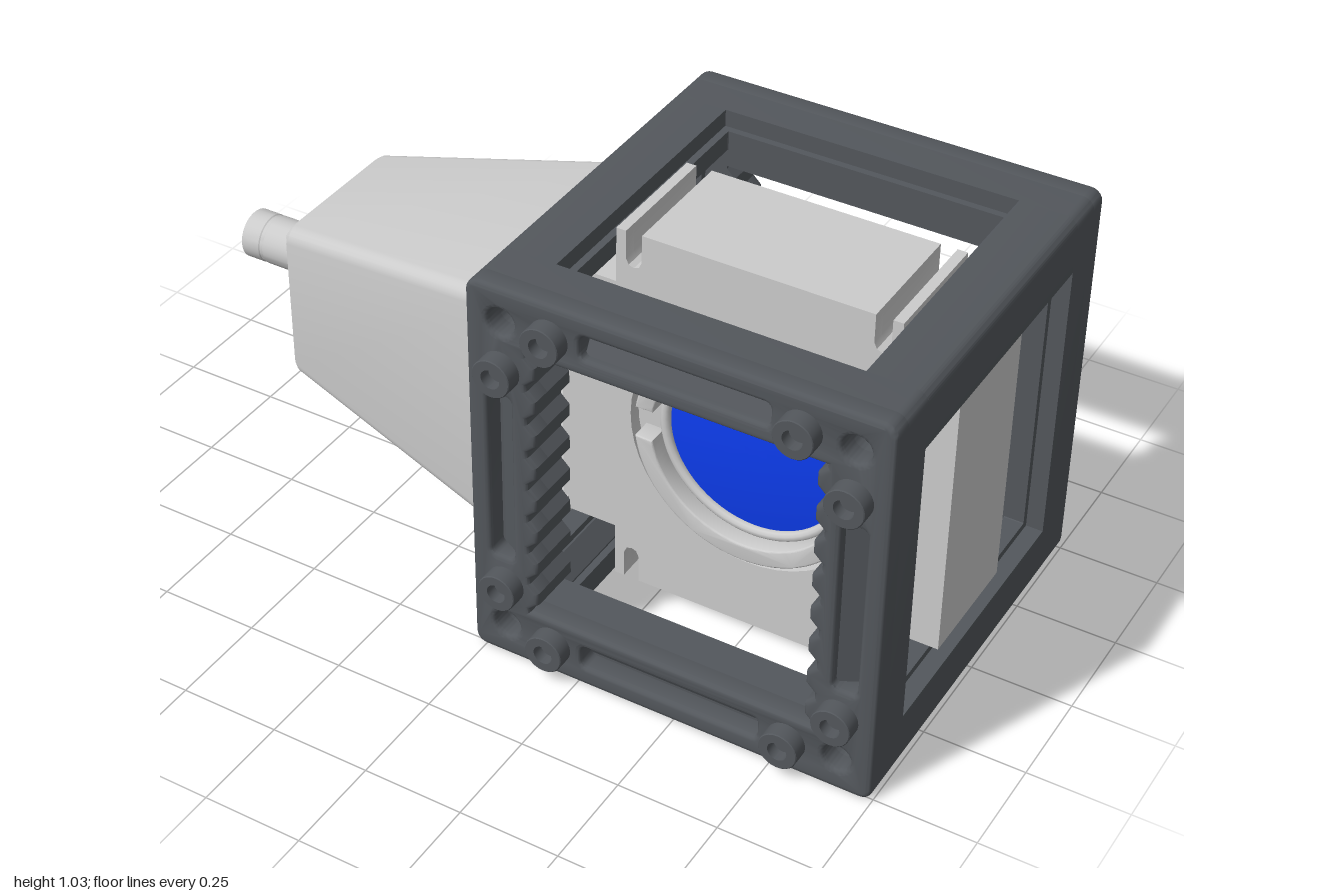
import * as THREE from 'three';
import { toCreasedNormals } from 'three/addons/utils/BufferGeometryUtils.js';
import { RoundedBoxGeometry } from 'three/addons/geometries/RoundedBoxGeometry.js';

const CX = 0.485, CY = 0.513, HALF = 0.513, OPEN = 0.37;
const grey = new THREE.MeshStandardMaterial({ color: 0xcccccc });
const dark = new THREE.MeshStandardMaterial({ color: 0x53575c });
const blue = new THREE.MeshStandardMaterial({ color: 0x0d3df0 });

function add(parent, name, geometry, material, x = 0, y = 0, z = 0) {
  const mesh = new THREE.Mesh(geometry, material);
  mesh.name = name;
  mesh.position.set(x, y, z);
  parent.add(mesh);
  return mesh;
}

// Points of a rounded rectangle, counter-clockwise
function roundRect(cx, cy, hw, hh, r, steps = 5) {
  const pts = [];
  [[1, 1], [-1, 1], [-1, -1], [1, -1]].forEach(([sx, sy], q) => {
    for (let i = 0; i <= steps; i++) {
      const a = (q + i / steps) * Math.PI / 2;
      pts.push(new THREE.Vector2(
        cx + sx * (hw - r) + r * Math.cos(a), cy + sy * (hh - r) + r * Math.sin(a)));
    }
  });
  return pts;
}

function circle(x, y, r) {
  return new THREE.Path().absarc(x, y, r, 0, Math.PI * 2, true);
}

function extrude(shape, depth, bevel = 0) {
  const g = new THREE.ExtrudeGeometry(shape, {
    depth, curveSegments: 24, bevelEnabled: bevel > 0, bevelSize: bevel,
    bevelThickness: bevel, bevelOffset: -bevel, bevelSegments: 3,
  });
  return toCreasedNormals(g, 0.6);
}

// Lathe turned so that its axis is z; points are [radius, z]
function latheZ(points, segments = 48) {
  const g = new THREE.LatheGeometry(points.map(p => new THREE.Vector2(...p)), segments);
  g.rotateX(Math.PI / 2);
  return toCreasedNormals(g, 0.5);
}

// Skin over rounded-square sections along x; sections are [x, half size]
function squareLoft(sections) {
  const pos = [], idx = [];
  let n = 0;
  for (const [x, h] of sections) {
    const loop = roundRect(0, 0, h, h, Math.min(0.035, h * 0.3));
    n = loop.length;
    loop.forEach(p => pos.push(x, p.y, -p.x));
  }
  for (let s = 0; s < sections.length - 1; s++) {
    for (let i = 0; i < n; i++) {
      const a = s * n + i, b = s * n + (i + 1) % n;
      idx.push(a, b, a + n, b, b + n, a + n);
    }
  }
  const g = new THREE.BufferGeometry();
  g.setAttribute('position', new THREE.Float32BufferAttribute(pos, 3));
  g.setIndex(idx);
  return toCreasedNormals(g, 0.5);
}

const corners = [[1, 1], [-1, 1], [-1, -1], [1, -1]];

// Square opening with toothed left and right edges
function toothedOpening() {
  const edge = 0.362, pitch = 2 * edge / 8;
  const side = [new THREE.Vector2(edge, -edge)];
  for (let i = 0; i < 8; i++) {
    [[0, 0.08], [0.022, 0.32], [0.022, 0.68], [0, 0.92]].forEach(([d, t]) =>
      side.push(new THREE.Vector2(edge - d, -edge + (i + t) * pitch)));
  }
  side.push(new THREE.Vector2(edge, edge));
  return new THREE.Path([...side, ...side.map(p => p.clone().negate())]);
}

// Front or back of the cage, facing +z
function cageFace() {
  const face = new THREE.Group();

  // Outer layer with slots, over a plain inner layer
  const ring = new THREE.Shape(roundRect(0, 0, HALF, HALF, 0.03));
  ring.holes.push(toothedOpening());
  corners.forEach(([x, y]) => ring.holes.push(circle(x * 0.425, y * 0.425, 0.034)));
  add(face, 'innerRing', extrude(ring, 0.09), dark, 0, 0, 0.37);
  for (const s of [1, -1]) {
    ring.holes.push(new THREE.Path(roundRect(s * 0.433, 0, 0.03, 0.228, 0.015, 3)));
    ring.holes.push(new THREE.Path(roundRect(0, s * 0.433, 0.228, 0.03, 0.015, 3)));
  }
  add(face, 'facePlate', extrude(ring, 0.041, 0.012), dark, 0, 0, 0.46);

  // Slanted floors of the slots
  const wedge = new THREE.Shape([[0.4, 0.455], [0.466, 0.455], [0.4, 0.49]]
    .map(p => new THREE.Vector2(...p)));
  const floor = extrude(wedge, 0.45);
  floor.translate(0, 0, -0.225);
  floor.rotateX(Math.PI / 2);
  for (let i = 0; i < 4; i++) add(face, 'slotFloor', floor, dark).rotation.z = i * Math.PI / 2;

  // Socket-head screws, two by each corner
  const screw = latheZ([[0.048, 0.49], [0.048, 0.553], [0.046, 0.555], [0.024, 0.555],
    [0.024, 0.525], [0, 0.525]], 24);
  corners.forEach(([x, y]) => {
    add(face, 'screw', screw, dark, x * 0.425, y * 0.302);
    add(face, 'screw', screw, dark, x * 0.302, y * 0.43);
  });
  return face;
}

function createCage() {
  const cage = new THREE.Group();
  cage.name = 'cage';
  const front = cageFace(), back = cageFace();
  front.name = 'frontFace';
  back.name = 'backFace';
  back.rotation.y = Math.PI;
  cage.add(front, back);

  // Hollow corner posts joining the two faces
  const post = new THREE.Shape();
  post.moveTo(OPEN, OPEN + 0.045);
  post.lineTo(OPEN + 0.045, OPEN);
  post.lineTo(HALF, OPEN);
  post.lineTo(HALF, HALF - 0.03);
  post.absarc(HALF - 0.03, HALF - 0.03, 0.03, 0, Math.PI / 2, false);
  post.lineTo(OPEN, HALF);
  post.holes.push(circle(0.425, 0.425, 0.034));
  const postGeometry = extrude(post, 0.74);

  // Narrow lip set back inside each of the four side openings
  const lip = new THREE.Shape(roundRect(0, 0, OPEN + 0.004, OPEN + 0.004, 0.002, 1));
  lip.holes.push(new THREE.Path(roundRect(0, 0, 0.352, 0.352, 0.002, 1)));
  const lipGeometry = extrude(lip, 0.05);
  lipGeometry.translate(0, 0, 0.42);
  lipGeometry.rotateY(Math.PI / 2);

  for (let i = 0; i < 4; i++) {
    add(cage, 'cornerPost', postGeometry, dark, 0, 0, -0.37).rotation.z = i * Math.PI / 2;
    add(cage, 'openingLip', lipGeometry, dark).rotation.z = i * Math.PI / 2;
  }
  return cage;
}

function createLensHolder() {
  const holder = new THREE.Group();
  holder.name = 'lensHolder';

  // Cross-shaped block; the upper and lower arms have slits beside thin fins
  const W = 0.35, L = 0.492;
  const half = [[L, -W], [L, W], [W, W], [W, L], [0.325, L], [0.325, 0.42], [0.318, 0.405],
    [0.305, 0.4], [0.292, 0.405], [0.285, 0.42], [0.285, L]];
  const top = half.slice(3).map(([x, y]) => [-x, y]).reverse();
  const upper = [...half, ...top, [-W, W]];
  const outline = [...upper, ...upper.map(([x, y]) => [-x, -y])];
  // The front layer has a wider hole, leaving a groove round the ring
  for (const [name, z, depth, r] of [['holderBody', -0.155, 0.275, 0.235], ['holderFront', 0.12, 0.035, 0.31]]) {
    const body = new THREE.Shape(outline.map(p => new THREE.Vector2(...p)));
    body.holes.push(circle(0, 0, r));
    add(holder, name, extrude(body, depth), grey, 0, 0, z);
  }

  // Raised retaining ring in two halves, with a notch at each side
  const gap = 0.14;
  for (const turn of [0, Math.PI]) {
    const arc = new THREE.Shape();
    arc.absarc(0, 0, 0.288, gap, Math.PI - gap, false);
    arc.absarc(0, 0, 0.243, Math.PI - gap * 1.2, gap * 1.2, true);
    add(holder, 'retainingRing', extrude(arc, 0.05, 0.004), grey, 0, 0, 0.124).rotation.z = turn;
  }
  add(holder, 'lensSeat', new THREE.TorusGeometry(0.234, 0.013, 10, 64), grey, 0, 0, 0.125);

  // Lens gently curved on both sides
  const profile = [];
  for (let i = 0; i <= 10; i++) {
    profile.push([0.236 * i / 10, 0.138 - 0.018 * (i / 10) ** 2]);
  }
  const lens = [...profile.map(([r, z]) => [r, -z]), ...profile.reverse()];
  add(holder, 'lens', latheZ(lens, 64), blue);
  return holder;
}

function createHousing() {
  const housing = new THREE.Group();
  housing.name = 'sideHousing';

  // Hollow tapering shell with a flange set in the cage opening
  add(housing, 'taperedShell', squareLoft([
    [-0.75, 0.001], [-0.75, 0.195], [-0.746, 0.204], [-0.735, 0.211], [-0.07, 0.338],
    [-0.055, 0.343], [-0.03, 0.37], [-0.027, 0.366], [0.008, 0.366], [0.008, 0.312],
    [-0.02, 0.31], [-0.66, 0.188], [-0.66, 0.001],
  ]), grey);

  // End plate with four screws
  add(housing, 'endPlate', new RoundedBoxGeometry(0.06, 0.306, 0.3, 3, 0.015), grey, -0.765);
  const bolt = latheZ([[0.032, -0.01], [0.032, 0.002], [0.018, 0.002], [0.018, 0.001], [0, 0.001]], 20);
  bolt.rotateY(-Math.PI / 2);
  corners.forEach(([y, z]) => add(housing, 'endScrew', bolt, grey, -0.795, y * 0.105, z * 0.105));

  // Hollow cable spout
  const spout = latheZ([[0.062, 0], [0.062, 0.155], [0.06, 0.158], [0.06, 0.166], [0.062, 0.169],
    [0.062, 0.218], [0.06, 0.22], [0.04, 0.22], [0.04, 0.08], [0, 0.08]], 36);
  spout.rotateY(-Math.PI / 2);
  add(housing, 'spout', spout, grey, -0.78);
  return housing;
}

export function createModel() {
  const model = new THREE.Group();
  model.name = 'lensCube';
  const cage = createCage(), holder = createLensHolder(), housing = createHousing();
  cage.position.set(CX, CY, 0);
  holder.position.set(CX, CY, 0);
  housing.position.set(0, CY, 0);
  model.add(cage, holder, housing);
  return model;
}
